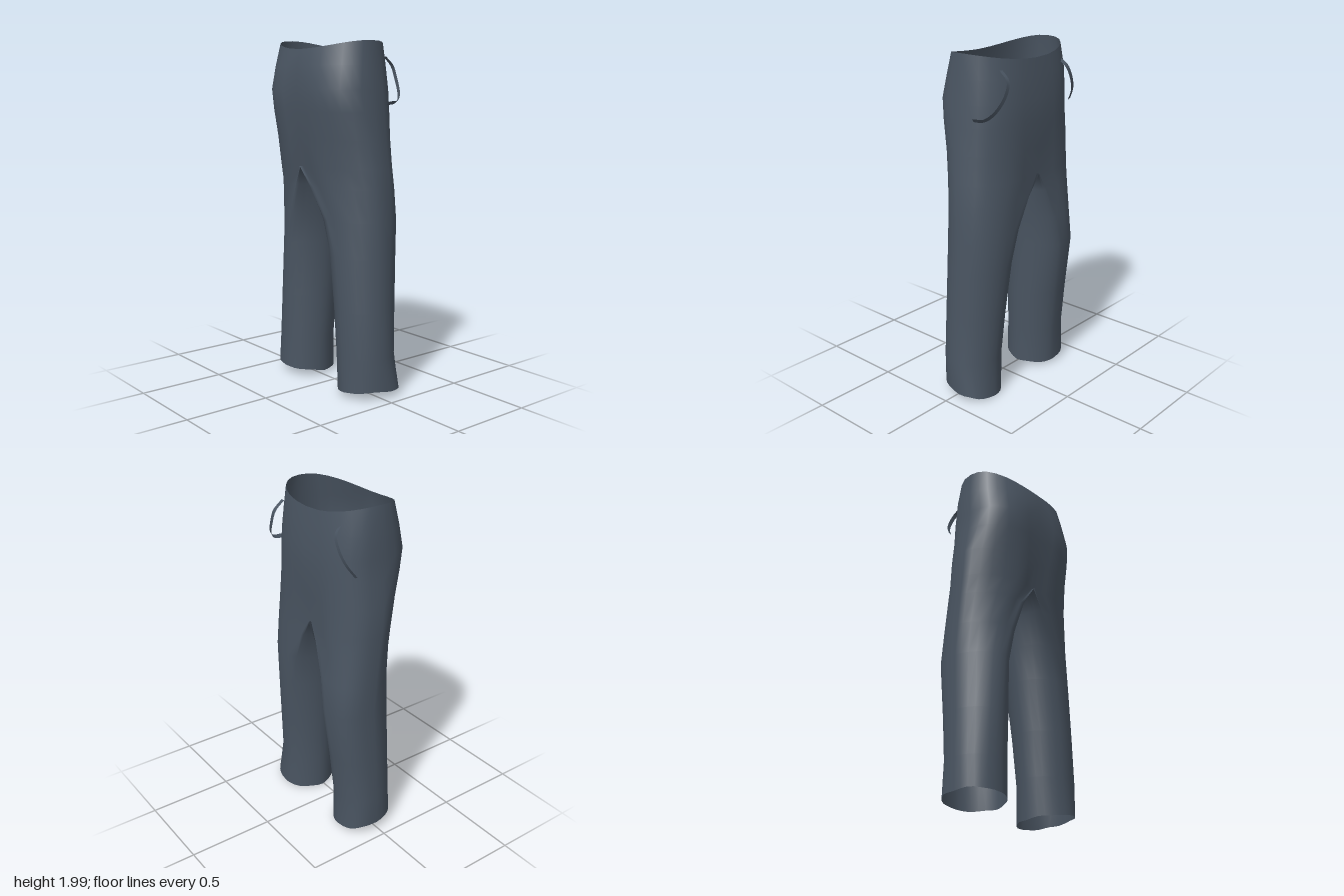
import * as THREE from 'three';
import { mergeGeometries, mergeVertices } from 'three/addons/utils/BufferGeometryUtils.js';

const HALF = 14; // columns on each half of a cross-section
const CROTCH = 5; // row where the legs part

// Hip rows: y, back x, front x, middle z, back crease, front crease
const hips = [
  [1.94, -0.217, 0.207, -0.035, 0, 0],
  [1.85, -0.243, 0.218, -0.038, 0.008, 0],
  [1.72, -0.268, 0.229, -0.042, 0.028, 0],
  [1.6, -0.263, 0.231, -0.046, 0.03, 0.002],
  [1.45, -0.247, 0.231, -0.055, 0.035, 0.012],
  [1.29, -0.23, 0.235, -0.06, 0.048, 0.035],
];
const hipOuter = {
  left: [0.325, 0.337, 0.35, 0.36, 0.374, 0.39],
  right: [-0.395, -0.408, -0.41, -0.415, -0.432, -0.433],
};

// Leg rows: y, back x, front x, outer z, middle z, inner z, crease depth
const legRows = {
  left: [
    [1.18, -0.208, 0.228, 0.4, 0.03, -0.02, 0.025],
    [1.0, -0.18, 0.222, 0.406, 0.15, 0.01, 0.005],
    [0.8, -0.168, 0.208, 0.412, 0.21, 0.04, 0],
    [0.5, -0.163, 0.188, 0.422, 0.245, 0.075, 0],
    [0.24, -0.157, 0.17, 0.437, 0.262, 0.095, 0],
    [0.025, -0.16, 0.18, 0.442, 0.275, 0.108, 0],
  ],
  right: [
    [1.18, -0.198, 0.23, -0.432, -0.14, -0.074, 0.025],
    [1.0, -0.17, 0.234, -0.432, -0.21, -0.09, 0.005],
    [0.82, -0.158, 0.245, -0.432, -0.25, -0.112, 0],
    [0.5, -0.156, 0.205, -0.435, -0.27, -0.11, 0],
    [0.24, -0.153, 0.178, -0.443, -0.275, -0.12, 0],
    [0.04, -0.158, 0.178, -0.442, -0.275, -0.12, 0],
  ],
};
// Roundness of the outer corners per row: below 1 is boxier, above 1 is leaner
const corner = {
  left: {
    front: [0.88, 0.82, 0.78, 0.78, 0.8, 0.8, 0.82, 0.88, 0.98, 1.02, 1.02, 0.85],
    back: [0.9, 0.85, 0.8, 0.85, 0.97, 1.02, 1.05, 1.05, 1.05, 1.02, 1, 1],
  },
  right: {
    front: [0.82, 0.72, 0.7, 0.72, 0.74, 0.74, 0.74, 0.74, 0.74, 0.8, 0.85, 0.75],
    back: [0.9, 0.83, 0.78, 0.88, 1.08, 1.15, 1.2, 1.2, 1.18, 1.1, 1, 0.9],
  },
};

// One half of the hips with its leg, as rings from the waist down
function trouserHalf(side) {
  const rows = hips.map(([y, xb, xf, zc, back, front], i) => [y, xb, xf, hipOuter[side][i], zc, zc, back, front]);
  rows.push(...legRows[side].map((r) => [...r, r[6]]));
  const positions = [], index = [], n = HALF * 2;
  rows.forEach(([y, xb, xf, zo, zc, zi, backCrease, frontCrease], i) => {
    const hem = i === rows.length - 1;
    for (let j = 0; j < n; j++) {
      const u = (j / n) * Math.PI * 2;
      const c = Math.cos(u), s = Math.abs(Math.sin(u));
      const outer = j <= HALF;
      const power = outer ? corner[side][c > 0 ? 'front' : 'back'][i] : 1.1;
      const mid = (xf + xb) / 2 + (outer && hem && side === 'left' ? 0.04 : 0);
      const reach = c > 0 ? xf - mid : mid - xb;
      const crease = c > 0 ? frontCrease : backCrease;
      const x = mid + Math.sign(c) * (Math.abs(c) ** power * reach - crease * (1 - s) ** 4);
      const z = zc + s ** power * ((outer ? zo : zi) - zc);
      let py = y;
      // waist rises at the sides, hem tilts up at the outside and back
      if (i === 0) py += s ** 1.7 * (side === 'left' ? 0.042 : 0.06);
      if (hem) py += (outer ? 0.026 : -0.008) * s - 0.014 * c - 0.008 * s * Math.sin(3 * u) ** 2;
      positions.push(x, py, z);
    }
  });
  for (let i = 0; i < rows.length - 1; i++) {
    for (let j = 0; j < (i < CROTCH ? HALF : n); j++) {
      const k = (j + 1) % n;
      const a = i * n + j, b = i * n + k, c = a + n, d = b + n;
      if (side === 'left') index.push(a, b, c, b, d, c);
      else index.push(a, c, b, b, c, d);
    }
  }
  const g = new THREE.BufferGeometry();
  g.setAttribute('position', new THREE.Float32BufferAttribute(positions, 3));
  g.setIndex(index);
  return g;
}

// Narrow ribbon along a curve, its width lying in the front-on plane
function ribbon(points, width) {
  const curve = new THREE.CatmullRomCurve3(points.map((p) => new THREE.Vector3(...p)));
  const positions = [], index = [], steps = 20;
  for (let i = 0; i <= steps; i++) {
    const p = curve.getPoint(i / steps), t = curve.getTangent(i / steps);
    const across = new THREE.Vector3(0, -t.z, t.y).normalize().multiplyScalar(width / 2);
    positions.push(...p.clone().add(across).toArray(), ...p.clone().sub(across).toArray());
    if (i < steps) {
      const a = i * 2;
      index.push(a, a + 2, a + 1, a + 1, a + 2, a + 3);
    }
  }
  const g = new THREE.BufferGeometry();
  g.setAttribute('position', new THREE.Float32BufferAttribute(positions, 3));
  g.setIndex(index);
  g.computeVertexNormals();
  return g;
}

export function createModel() {
  const group = new THREE.Group();
  group.name = 'trousers';
  const cloth = new THREE.MeshStandardMaterial({ color: 0x4a5562, side: THREE.DoubleSide });
  cloth.name = 'slate cloth';

  const add = (name, geometry) => {
    const mesh = new THREE.Mesh(geometry, cloth);
    mesh.name = name;
    group.add(mesh);
  };

  // Hips and both legs welded into one smooth open shell
  const body = mergeVertices(mergeGeometries([trouserHalf('left'), trouserHalf('right')]), 1e-4);
  body.computeVertexNormals();
  add('trouserBody', body);

  // Curved pocket trims standing off the front
  add('leftPocketTrim', ribbon([
    [0.18, 1.9, 0.22], [0.232, 1.85, 0.225], [0.238, 1.78, 0.25],
    [0.215, 1.7, 0.3], [0.17, 1.655, 0.335], [0.095, 1.645, 0.345],
  ], 0.024));
  add('rightPocketTrim', ribbon([
    [0.17, 1.9, -0.285], [0.21, 1.86, -0.3], [0.216, 1.79, -0.335],
    [0.198, 1.72, -0.37], [0.155, 1.65, -0.4],
  ], 0.024));
  return group;
}
